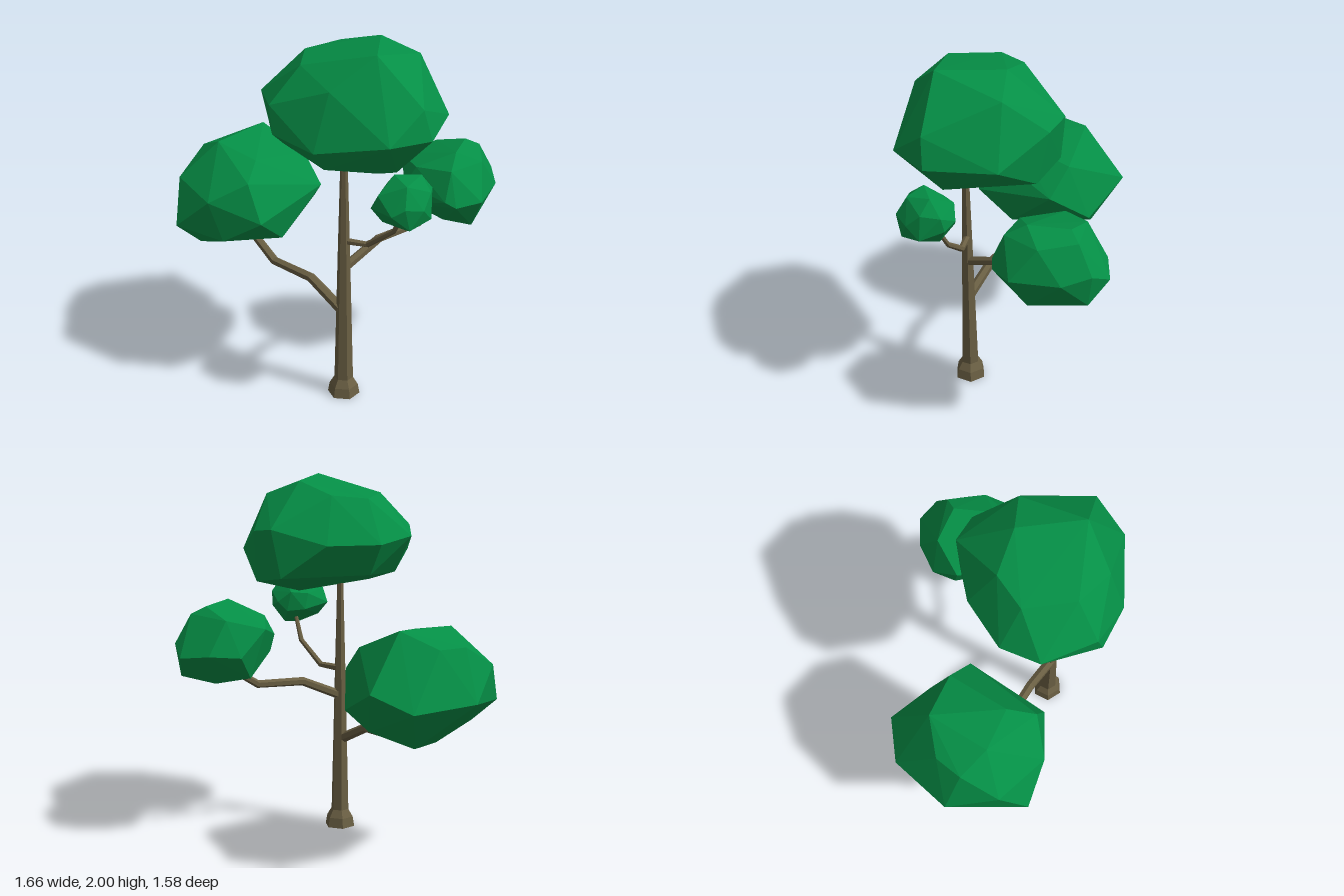
import * as THREE from 'three';
import { ConvexGeometry } from 'three/addons/geometries/ConvexGeometry.js';

const V = (x, y, z) => new THREE.Vector3(x, y, z);

// Faceted foliage clump: hull around a few corner points
function crown(name, points, material) {
  const mesh = new THREE.Mesh(new ConvexGeometry(points.map(p => V(...p))), material);
  mesh.name = name;
  return mesh;
}

// Tapered six-sided branch that bends at each path point
function branch(name, path, r0, r1, material) {
  const pts = path.map(p => V(...p));
  const last = pts.length - 1;
  const geo = new THREE.CylinderGeometry(1, 1, last, 6, last);
  const pos = geo.attributes.position;
  for (let i = 0; i < pos.count; i++) {
    const k = Math.round(pos.getY(i) + last / 2);
    const tangent = pts[Math.min(k + 1, last)].clone().sub(pts[Math.max(k - 1, 0)]).normalize();
    const side = tangent.clone().cross(V(0, 1, 0)).normalize();
    const out = side.clone().cross(tangent);
    const r = THREE.MathUtils.lerp(r0, r1, k / last);
    const p = pts[k].clone()
      .addScaledVector(side, pos.getX(i) * r)
      .addScaledVector(out, pos.getZ(i) * r);
    pos.setXYZ(i, p.x, p.y, p.z);
  }
  geo.computeVertexNormals();
  const mesh = new THREE.Mesh(geo, material);
  mesh.name = name;
  return mesh;
}

export function createModel() {
  const tree = new THREE.Group();
  tree.name = 'tree';

  const bark = new THREE.MeshStandardMaterial({ color: 0x6a5f43, flatShading: true });
  bark.name = 'bark brown';
  const leaf = new THREE.MeshStandardMaterial({ color: 0x058f46, flatShading: true });
  leaf.name = 'leaf green';

  // Hexagonal trunk with a flared foot
  const profile = [[0, 0], [0.087, 0], [0.077, 0.055], [0.051, 0.098], [0.031, 0.92], [0.017, 1.45], [0, 1.45]];
  const trunk = new THREE.Mesh(
    new THREE.LatheGeometry(profile.map(p => new THREE.Vector2(...p)), 6), bark);
  trunk.name = 'trunk';
  trunk.position.set(-0.105, 0, 0.31);
  tree.add(trunk);

  // Branches
  tree.add(
    branch('leftBranch',
      [[-0.1, 0.77, 0.31], [0.12, 0.87, 0.25], [0.38, 0.88, 0.18], [0.53, 0.98, 0.15]], 0.026, 0.02, bark),
    branch('backBranch',
      [[-0.12, 0.52, 0.3], [-0.21, 0.625, 0.1], [-0.33, 0.63, -0.15], [-0.41, 0.76, -0.33]], 0.029, 0.022, bark),
    branch('frontBranch',
      [[-0.1, 0.925, 0.31], [-0.01, 0.93, 0.4], [0.08, 1.05, 0.53], [0.1, 1.19, 0.61]], 0.02, 0.011, bark));

  // Foliage
  tree.add(
    crown('topCrown', [
      [-0.02, 2, 0.52], [0.14, 1.985, 0.2], [0, 1.92, 0.01], [-0.2, 1.9, 0.02], [-0.32, 1.91, 0.27],
      [0.3, 1.91, 0.33], [0.4, 1.73, 0.12], [0.42, 1.6, 0.43], [0.38, 1.45, 0.18], [0.15, 1.76, 0.7],
      [-0.05, 1.61, 0.75], [0.19, 1.6, 0.72], [-0.36, 1.55, 0.54], [-0.26, 1.84, 0.5], [-0.49, 1.73, 0.28],
      [-0.49, 1.59, 0.32], [-0.43, 1.7, -0.01], [-0.24, 1.67, -0.13], [0.05, 1.67, -0.13], [0.33, 1.75, -0.02],
      [0.28, 1.49, -0.03], [-0.2, 1.5, -0.04], [0.13, 1.375, 0.29], [0.08, 1.385, 0.55], [-0.01, 1.385, 0.53],
      [-0.28, 1.42, 0.35], [-0.28, 1.43, 0.48], [-0.39, 1.48, 0.2],
    ], leaf),
    crown('backCrown', [
      [-0.24, 1.29, -0.55], [-0.55, 1.28, -0.4], [-0.58, 1.2, -0.58], [-0.43, 1.2, -0.63], [-0.41, 1.23, -0.19],
      [-0.08, 1.17, -0.33], [-0.06, 1, -0.69], [-0.26, 0.91, -0.79], [0.01, 0.86, -0.41], [-0.04, 1.03, -0.18],
      [-0.46, 0.95, 0.02], [-0.7, 1.05, -0.14], [-0.83, 0.86, -0.32], [-0.76, 1.08, -0.46], [-0.61, 0.93, -0.7],
      [-0.7, 0.75, -0.3], [-0.63, 0.78, -0.45], [-0.47, 0.67, -0.43], [-0.31, 0.69, -0.61], [-0.3, 0.79, -0.1],
      [-0.1, 0.76, -0.5], [-0.5, 1.16, -0.06], [-0.63, 0.82, -0.12],
    ], leaf),
    crown('leftCrown', [
      [0.52, 1.335, 0.33], [0.66, 1.325, 0.16], [0.57, 1.27, 0], [0.36, 1.22, -0.01], [0.5, 1.08, -0.08],
      [0.67, 1.09, -0.06], [0.815, 1.07, 0.03], [0.83, 1.13, 0.15], [0.78, 1.1, 0.3], [0.6, 1.1, 0.49],
      [0.45, 1.09, 0.49], [0.4, 1.12, 0.46], [0.66, 1.27, 0.36], [0.74, 1.285, 0.17], [0.3, 1.05, 0.25],
      [0.28, 1.15, 0.22], [0.33, 1.25, 0.25], [0.8, 0.95, 0.15], [0.62, 0.91, 0.1], [0.6, 0.92, 0.38],
      [0.47, 0.94, 0.3], [0.44, 0.95, 0.02], [0.45, 1.27, 0.42],
    ], leaf),
    crown('frontCrown', [
      [0.03, 1.415, 0.63], [0.16, 1.41, 0.67], [0.05, 1.39, 0.74], [0.23, 1.32, 0.65], [0.23, 1.24, 0.63],
      [0.16, 1.145, 0.62], [0.07, 1.13, 0.69], [-0.04, 1.18, 0.65], [-0.09, 1.25, 0.62], [-0.07, 1.33, 0.66],
      [0.04, 1.32, 0.52], [0.14, 1.33, 0.52], [0.06, 1.23, 0.51], [0.16, 1.22, 0.53], [0.21, 1.27, 0.555],
      [0.02, 1.29, 0.79], [0.12, 1.27, 0.79], [0.05, 1.17, 0.78], [0.18, 1.2, 0.75], [0.18, 1.34, 0.74],
      [-0.04, 1.25, 0.76],
    ], leaf));

  return tree;
}
